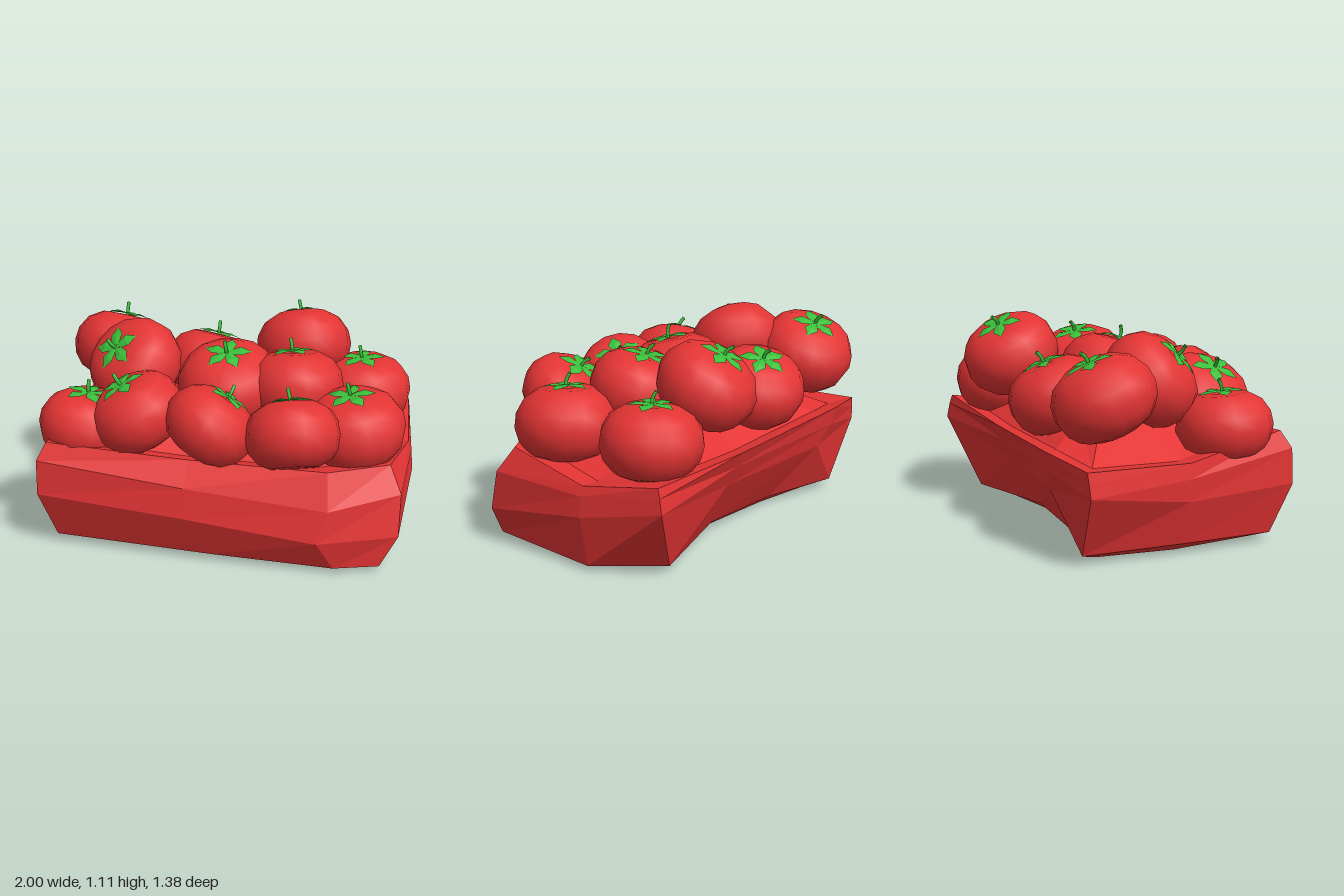
import * as THREE from 'three';

const red = new THREE.MeshStandardMaterial({ color: 0xe43434 });
red.name = 'tomatoRed';
const green = new THREE.MeshStandardMaterial({ color: 0x3abe3a, side: THREE.DoubleSide });
green.name = 'leafGreen';

function facets(positions) {
  const g = new THREE.BufferGeometry();
  g.setAttribute('position', new THREE.Float32BufferAttribute(positions, 3));
  g.computeVertexNormals();
  return g;
}

// Rough faceted block: rings run front-left, front, right, back, left
function crateGeometry() {
  const rings = [
    [[-.7, 0, .48], [-.1, 0, .5], [.5, 0, .5], [.8, 0, .42], [.8, 0, -.1],
      [.62, 0, -.36], [.15, 0, -.26], [-.35, 0, -.3], [-.7, 0, -.36], [-.75, 0, .05]],
    [[-.83, .05, .57], [.03, .04, .59], [.68, .03, .58], [.91, .03, .5], [.95, .03, -.15],
      [.71, .04, -.49], [.15, .05, -.33], [-.35, .05, -.36], [-.8, .05, -.48], [-.85, .06, .05]],
    [[-.9, .32, .66], [-.1, .27, .67], [.6, .2, .66], [1, .2, .48], [1, .31, -.15],
      [.93, .42, -.62], [.2, .32, -.48], [-.55, .34, -.55], [-.98, .39, -.51], [-.93, .3, .05]],
    [[-.9, .51, .65], [-.1, .43, .64], [.65, .37, .62], [1, .42, .43], [.99, .42, -.15],
      [.925, .5, -.605], [.2, .43, -.53], [-.62, .46, -.59], [-.97, .46, -.515], [-.94, .42, .05]],
    [[-.86, .6, .6], [-.1, .55, .54], [.63, .55, .53], [.93, .55, .36], [.97, .47, -.15],
      [.92, .55, -.59], [.2, .52, -.57], [-.64, .56, -.61], [-.96, .52, -.52], [-.93, .5, .05]],
  ];
  // Top inside the rim, heaped toward the middle
  const rim = rings[4];
  rings.push(rim.map(([x, y, z]) => [x * .86, y - .02, z * .84]));
  rings.push(rim.map(([x, , z]) => [x * .55, .65, z * .5]));
  const out = [];
  const n = rim.length;
  const top = rings.length - 1;
  for (let i = 0; i < n; i++) {
    const j = (i + 1) % n;
    for (let r = 0; r < top; r++) {
      const a = rings[r], b = rings[r + 1];
      // The back-left corner folds along the other diagonal
      if (i === 7) out.push(...a[i], ...a[j], ...b[i], ...a[j], ...b[j], ...b[i]);
      else out.push(...a[i], ...a[j], ...b[j], ...a[i], ...b[j], ...b[i]);
    }
    out.push(...rings[0][j], ...rings[0][i], 0, 0, 0);
    out.push(...rings[top][i], ...rings[top][j], 0, .7, 0);
  }
  return facets(out);
}

// Squat fruit with a full base and a dimpled crown
const fruitGeometry = new THREE.LatheGeometry([
  [0, -.19], [.13, -.187], [.2, -.155], [.247, -.095], [.267, -.02], [.257, .055],
  [.215, .125], [.14, .17], [.06, .174], [0, .16],
].map(([x, y]) => new THREE.Vector2(x, y)), 14);

// Five broad leaves with a soft ridge, drooping at the tips
function leavesGeometry() {
  const out = [];
  for (let k = 0; k < 5; k++) {
    const t = k * Math.PI * 2 / 5;
    const p = (side, y, along) => [
      side * Math.cos(t) + along * Math.sin(t), y, along * Math.cos(t) - side * Math.sin(t)];
    const c = p(0, .014, 0), ridge = p(0, .02, .07), tip = p(0, .002, .135);
    for (const s of [-1, 1]) {
      const base = p(s * .025, .012, .035), edge = p(s * .038, .013, .08);
      const tris = [[c, base, ridge], [base, edge, ridge], [edge, tip, ridge]];
      for (const [a, b, d] of tris) out.push(...(s > 0 ? [a, b, d] : [a, d, b]).flat());
    }
  }
  return facets(out);
}
const leafGeometry = leavesGeometry();

const stemGeometry = new THREE.TubeGeometry(new THREE.CatmullRomCurve3([
  new THREE.Vector3(0, 0, 0), new THREE.Vector3(.004, .04, 0), new THREE.Vector3(.012, .075, .018),
]), 5, .01, 6);

// x, y, z, radius, then how far the crown leans in x and z
const fruits = [
  [-.73, .83, -.335, .27, .02, -.07],
  [-.2, .75, -.37, .263, .03, -.06],
  [.325, .895, -.43, .268, -.03, -.08],
  [.68, .68, -.355, .268, -.01, .005],
  [-.54, .86, .02, .268, -.07, .11],
  [0, .805, .035, .282, 0, .05],
  [.355, .81, 0, .265, -.02, -.04],
  [-.72, .625, .35, .253, .02, -.01],
  [-.42, .73, .38, .256, -.08, .03],
  [-.005, .715, .43, .25, .09, -.05],
  [.43, .71, .445, .252, -.03, -.08],
  [.71, .67, .19, .275, -.02, .02],
];

export function createModel() {
  const model = new THREE.Group();
  model.name = 'tomatoPile';

  const crate = new THREE.Mesh(crateGeometry(), red);
  crate.name = 'crate';
  model.add(crate);

  const up = new THREE.Vector3(0, 1, 0);
  fruits.forEach(([x, y, z, radius, dx, dz], i) => {
    const tomato = new THREE.Group();
    tomato.name = 'tomato' + (i + 1);
    const fruit = new THREE.Mesh(fruitGeometry, red);
    fruit.name = 'fruit';
    fruit.scale.setScalar(radius / .267);
    const crown = new THREE.Group();
    crown.name = 'crown';
    crown.position.y = .172 * radius / .267;
    crown.rotation.y = Math.PI;
    const leaves = new THREE.Mesh(leafGeometry, green);
    leaves.name = 'leaves';
    const stem = new THREE.Mesh(stemGeometry, green);
    stem.name = 'stem';
    crown.add(leaves, stem);
    tomato.add(fruit, crown);
    tomato.position.set(x, y, z);
    const lean = new THREE.Vector3(dx, Math.sqrt(.18 ** 2 - dx * dx - dz * dz), dz).normalize();
    tomato.quaternion.setFromUnitVectors(up, lean);
    model.add(tomato);
  });
  return model;
}
